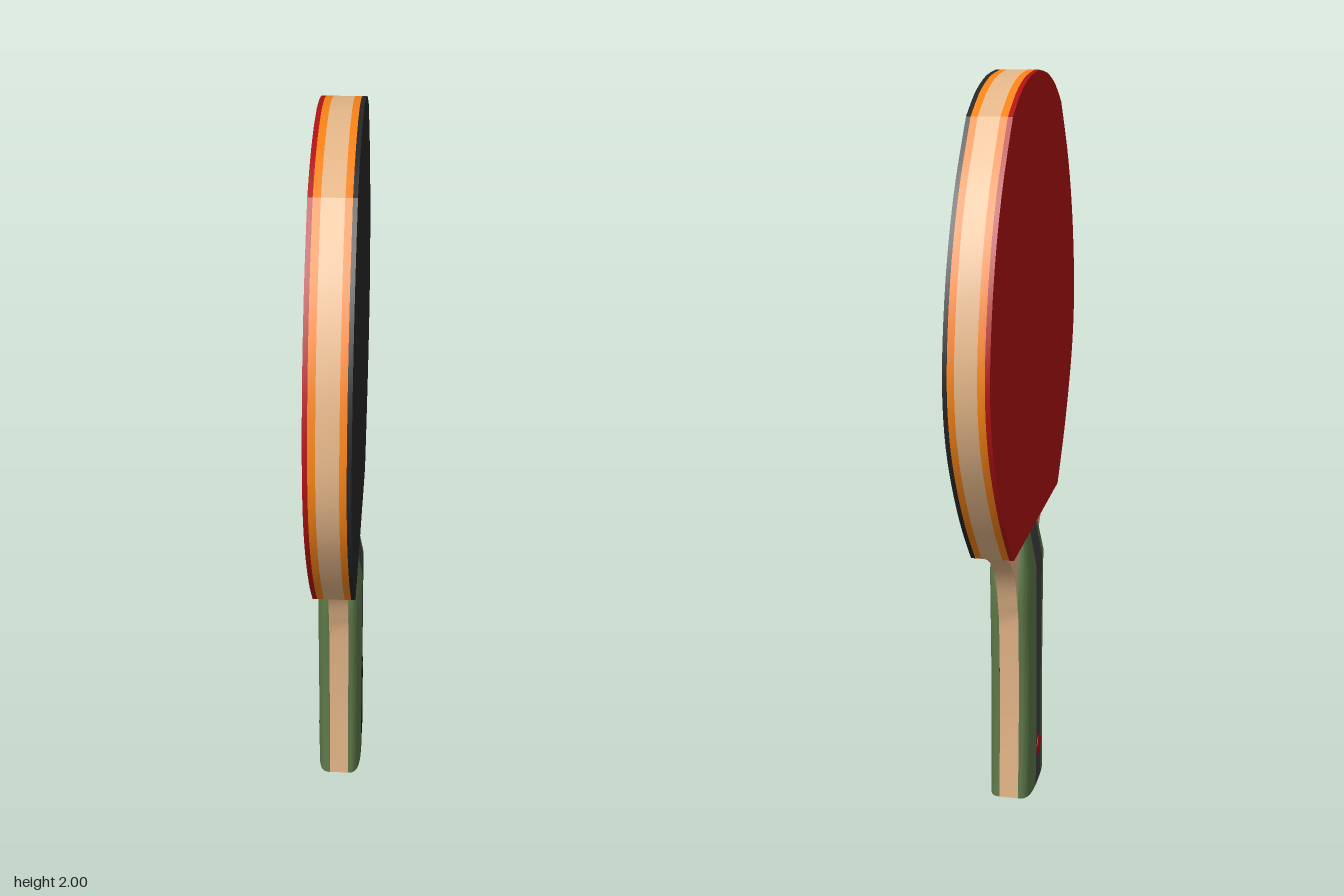
import * as THREE from 'three';
import { toCreasedNormals } from 'three/addons/utils/BufferGeometryUtils.js';

const COLORS = {
  wood: 0xe3b587, sponge: 0xf58216, black: 0x262626, red: 0xb01212,
  green: 0x5d7849, stripe: 0x404042, slot: 0x0a0a0a,
};
const CORE = 0.027; // half thickness of the wooden blade

function part(name, geometry, color) {
  const mesh = new THREE.Mesh(geometry, new THREE.MeshStandardMaterial({ color }));
  mesh.name = name;
  return mesh;
}

// Smooth curve through [z, y] points
const curve = (points, n) =>
  new THREE.SplineCurve(points.map(([z, y]) => new THREE.Vector2(z, y))).getPoints(n);

// Symmetric outline from its right half, running top to bottom
const mirrored = (half) => [
  ...half,
  ...half.filter((p) => p.x > 1e-5).reverse().map((p) => new THREE.Vector2(-p.x, p.y)),
];

// Plate drawn in the z-y plane, spanning x0 to x1
function plate(shape, x0, x1, crease = 0.3) {
  const g = new THREE.ExtrudeGeometry(shape, { depth: x1 - x0, bevelEnabled: false, curveSegments: 16 });
  g.translate(0, 0, x0).rotateY(Math.PI / 2);
  return toCreasedNormals(g, crease);
}

// Grip stations from the butt up: [y, half width, face height, stripe half width]
const STATIONS = [
  [0, 0.125, 0.063, 0.041], [0.08, 0.119, 0.063, 0.037], [0.18, 0.114, 0.063, 0.033],
  [0.3, 0.111, 0.063, 0.031], [0.42, 0.113, 0.063, 0.033], [0.55, 0.119, 0.063, 0.038],
  [0.68, 0.126, 0.063, 0.043], [0.8, 0.085, 0.042, 0.044],
];

// Height of the rounded grip face at a given z
const gripHeight = (z, w, h) =>
  CORE + (h - CORE) * Math.pow(Math.max(0, 1 - Math.pow(Math.abs(z) / w, 3)), 1 / 3);

// Strip of grip surface; zRule(u, w, s) places u = -1..1 across the strip
function gripStrip(columns, zRule) {
  const rows = STATIONS.length - 1;
  const g = new THREE.PlaneGeometry(2, 1, columns, rows);
  const pos = g.attributes.position;
  for (let i = 0; i < pos.count; i++) {
    const [y, w, h, s] = STATIONS[Math.round((pos.getY(i) + 0.5) * rows)];
    const z = zRule(pos.getX(i), w, s);
    pos.setXYZ(i, gripHeight(z, w, h), y, z);
  }
  return toCreasedNormals(g, 0.6);
}

function makeGrip(name) {
  const grip = new THREE.Group();
  grip.name = name;
  const ease = (t) => Math.sin((t * Math.PI) / 2);
  grip.add(part('gripStripe', gripStrip(6, (u, w, s) => -u * s), COLORS.stripe));
  grip.add(part('gripSideA',
    gripStrip(12, (u, w, s) => -(s + (w - s) * ease((u + 1) / 2))), COLORS.green));
  grip.add(part('gripSideB',
    gripStrip(12, (u, w, s) => s + (w - s) * ease((1 - u) / 2)), COLORS.green));

  // Flat ends closing the shell
  for (const [y, w, h] of [STATIONS[0], STATIONS[STATIONS.length - 1]]) {
    const points = [];
    for (let i = 0; i <= 24; i++) {
      const z = w * Math.sin((i / 24 - 0.5) * Math.PI);
      points.push(new THREE.Vector2(gripHeight(z, w, h), z));
    }
    const end = new THREE.ShapeGeometry(new THREE.Shape(points));
    end.rotateX(y === 0 ? Math.PI / 2 : -Math.PI / 2).translate(0, y, 0);
    grip.add(part(y === 0 ? 'gripButt' : 'gripTop', end, COLORS.green));
  }
  return grip;
}

export function createModel() {
  const paddle = new THREE.Group();
  paddle.name = 'tableTennisPaddle';

  // Head outline: crown, shoulder kink, then the round side down to the rubber edge
  const crown = curve([[0, 2], [0.12, 1.988], [0.235, 1.956], [0.335, 1.905]], 10);
  const side = curve([[0.335, 1.905], [0.455, 1.755], [0.537, 1.6], [0.583, 1.45],
    [0.6, 1.31], [0.579, 1.18], [0.522, 1.055], [0.432, 0.92], [0.328, 0.8]], 28);
  const head = [...crown, ...side.slice(1)];

  // Wooden blade: head, flared neck and the tang inside the handle
  const neck = curve([[0.328, 0.8], [0.255, 0.768], [0.195, 0.722], [0.152, 0.655], [0.13, 0.58]], 12);
  const tang = curve([[0.12, 0.55], [0.113, 0.42], [0.111, 0.3], [0.114, 0.18], [0.125, 0]], 10);
  const bladeShape = new THREE.Shape(mirrored([...head, ...neck.slice(1), ...tang]));
  paddle.add(part('blade', plate(bladeShape, -CORE, CORE), COLORS.wood));

  // Sponge and rubber sheets on both faces
  const sheet = new THREE.Shape(mirrored(head));
  paddle.add(part('spongeLeft', plate(sheet, CORE, 0.044), COLORS.sponge));
  paddle.add(part('spongeRight', plate(sheet, -0.045, -CORE), COLORS.sponge));
  paddle.add(part('blackRubber', plate(sheet, 0.044, 0.055), COLORS.black));
  paddle.add(part('redRubber', plate(sheet, -0.057, -0.045), COLORS.red));

  // Two grip halves, one per face
  const gripRight = makeGrip('gripRight');
  gripRight.rotation.y = Math.PI;
  paddle.add(makeGrip('gripLeft'), gripRight);

  // Long dark inlay on the left grip
  const slot = new THREE.Shape();
  slot.absarc(0, 0.315, 0.025, 0, Math.PI);
  slot.absarc(0, 0.08, 0.025, Math.PI, Math.PI * 2);
  paddle.add(part('gripSlot', plate(slot, 0.055, 0.0645), COLORS.slot));

  // Round red inlay on the right grip
  const dot = new THREE.Shape();
  dot.absarc(0, 0.11, 0.03, 0, Math.PI * 2);
  paddle.add(part('gripDot', plate(dot, -0.0645, -0.055), COLORS.red));

  // Dark oval set into the butt of the handle
  const oval = new THREE.CylinderGeometry(1, 1, 0.004, 32);
  oval.scale(0.04, 1, 0.09);
  paddle.add(part('buttInlay', oval, COLORS.slot));

  return paddle;
}
